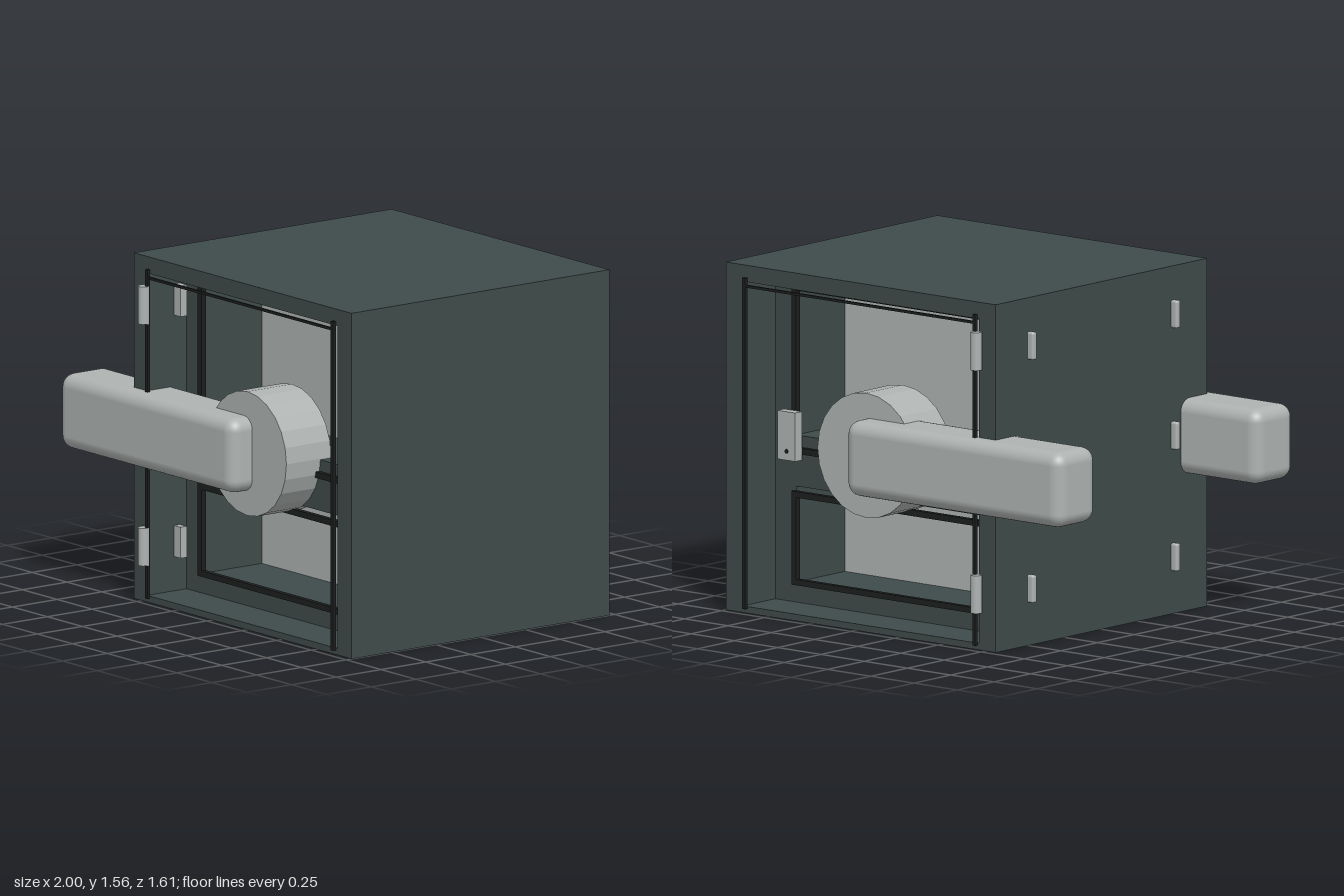
import * as THREE from 'three';
import { RoundedBoxGeometry } from 'three/addons/geometries/RoundedBoxGeometry.js';

const paint = (name, hex) => {
  const m = new THREE.MeshStandardMaterial({ color: hex });
  m.name = name;
  return m;
};

export function createModel() {
  const green = paint('dark green metal', 0x3f4b4a);
  const grey = paint('light grey metal', 0xaeb3b1);
  const black = paint('black rubber', 0x1d1f1f);
  const model = new THREE.Group();
  model.name = 'cabinet';

  const add = (parent, name, geometry, material, x = 0, y = 0, z = 0) => {
    const mesh = new THREE.Mesh(geometry, material);
    mesh.name = name;
    mesh.position.set(x, y, z);
    parent.add(mesh);
    return mesh;
  };
  // box given by its limits on each axis
  const box = (parent, name, material, [x0, x1], [y0, y1], [z0, z1], radius = 0) => {
    const s = [x1 - x0, y1 - y0, z1 - z0];
    const g = radius ? new RoundedBoxGeometry(...s, 4, radius) : new THREE.BoxGeometry(...s);
    return add(parent, name, g, material, (x0 + x1) / 2, (y0 + y1) / 2, (z0 + z1) / 2);
  };
  const rect = (Type, x0, x1, y0, y1) => new Type([
    new THREE.Vector2(x0, y0), new THREE.Vector2(x1, y0),
    new THREE.Vector2(x1, y1), new THREE.Vector2(x0, y1)]);
  // rectangular tube running along z, with one or more openings
  const tube = (name, material, parent, outer, holes, z0, z1) => {
    const shape = rect(THREE.Shape, ...outer);
    holes.forEach(h => shape.holes.push(rect(THREE.Path, ...h)));
    const g = new THREE.ExtrudeGeometry(shape, { depth: z1 - z0, bevelEnabled: false });
    return add(parent, name, g, material, 0, 0, z0);
  };

  // outer shell and the set-back inner carcass with its two compartments
  tube('outerShell', green, model, [-0.56, 1, 0, 1.56], [[-0.465, 0.9, 0.03, 1.485]], -0.72, 0.72);
  tube('innerCarcass', green, model, [-0.465, 0.9, 0.03, 1.485],
    [[-0.348, 0.778, 0.12, 0.55], [-0.348, 0.778, 0.78, 1.445]], -0.5, 0.5);

  // middle partitions
  box(model, 'upperPartition', grey, [-0.348, 0.778], [0.78, 1.445], [-0.17, 0.17]);
  box(model, 'lowerPartition', grey, [-0.348, 0.778], [0.12, 0.525], [-0.17, 0.17]);

  // fittings, the same on the front and the back
  for (const side of [1, -1]) {
    const face = new THREE.Group();
    face.name = side > 0 ? 'frontFittings' : 'backFittings';
    model.add(face);
    const both = (a, b) => (side > 0 ? [a, b] : [-b, -a]);

    // seals round the compartments
    const z = both(0.495, 0.52);
    tube('upperSeal', black, face, [-0.36, 0.79, 0.7, 1.46], [[-0.333, 0.763, 0.728, 1.432]], ...z);
    tube('lowerSeal', black, face, [-0.36, 0.79, 0.11, 0.53], [[-0.333, 0.763, 0.136, 0.503]], ...z);

    // thin strips round the mouth of the recess
    for (const x of [-0.448, 0.882])
      box(face, 'uprightStrip', black, [x - 0.008, x + 0.008], [0.02, 1.505], both(0.722, 0.738));
    box(face, 'topStrip', black, [-0.45, 0.885], [1.463, 1.474], both(0.724, 0.736));

    // hinge barrels and inner hinge leaves
    for (const y of [0.255, 1.345]) {
      add(face, 'hingeBarrel', new THREE.CylinderGeometry(0.026, 0.026, 0.17, 16), grey, -0.464, y, side * 0.74);
      box(face, 'hingeLeaf', grey, [-0.468, -0.418], [y - 0.07, y + 0.07], both(0.535, 0.57));
    }
    // tabs on the hinge side wall
    for (const y of [0.255, 0.8, 1.345])
      box(face, 'sideTab', grey, [-0.592, -0.55], [y - 0.062, y + 0.062], both(0.473, 0.505), 0.01);

    // latch plate with its keyhole
    box(face, 'latchPlate', grey, [0.73, 0.832], [0.675, 0.893], both(0.52, 0.565));
    const hole = add(face, 'keyhole', new THREE.CylinderGeometry(0.01, 0.01, 0.006, 12), black, 0.78, 0.715, side * 0.566);
    hole.rotation.x = Math.PI / 2;

    // round hub and long lever
    const hubShape = new THREE.CylinderGeometry(0.28, 0.28, 0.25, 24).toNonIndexed();
    hubShape.computeVertexNormals();
    const hub = add(face, 'handleHub', hubShape, grey, 0.215, 0.785, side * 0.565);
    hub.rotation.x = Math.PI / 2;
    box(face, 'handleLever', grey, [-1, 0.25], [0.615, 0.953], both(0.54, 0.805), 0.06);
  }
  return model;
}
